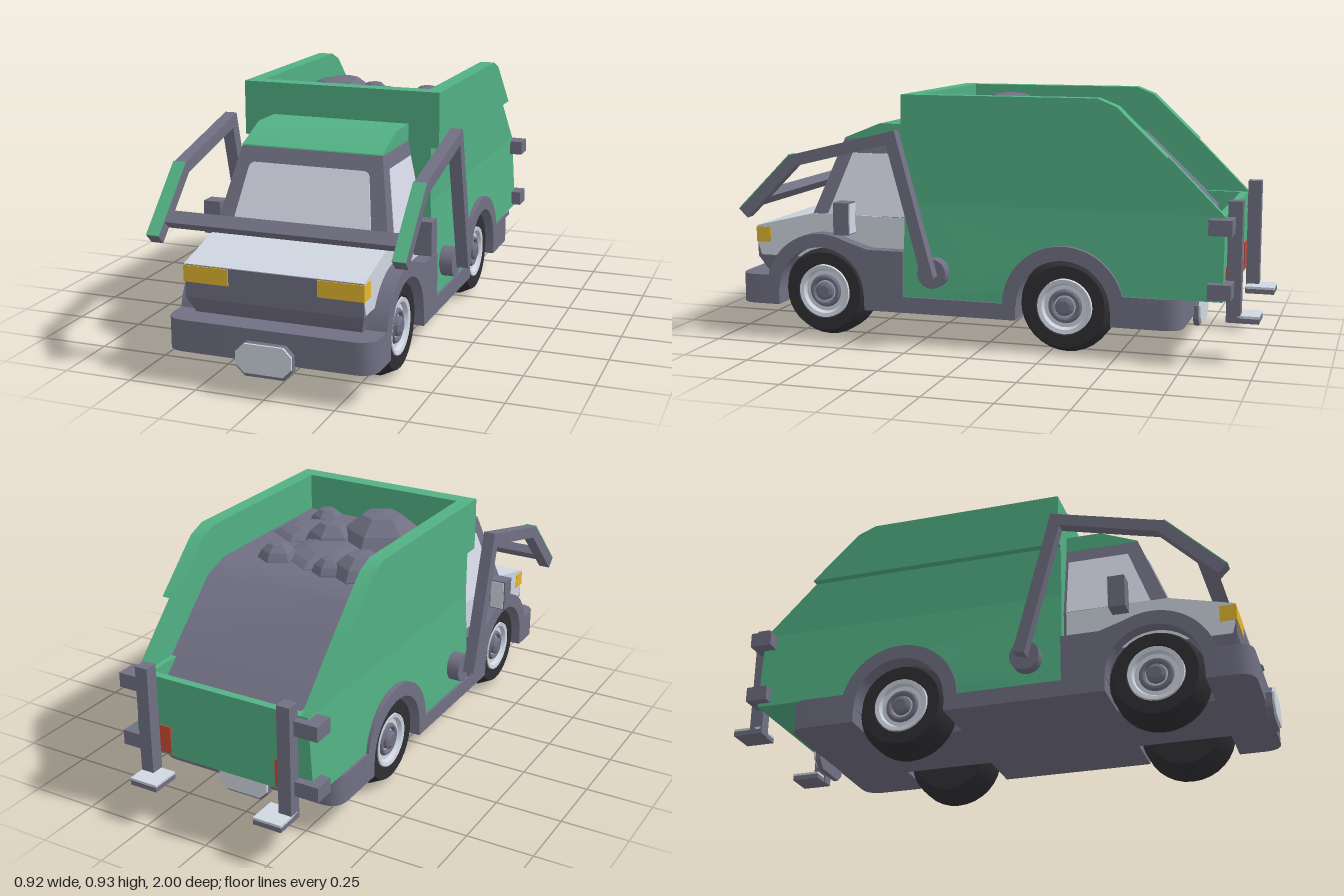
import * as THREE from 'three';
import { toCreasedNormals } from 'three/addons/utils/BufferGeometryUtils.js';

const paint = (name, color) => Object.assign(new THREE.MeshStandardMaterial({ color }), { name });

export function createModel() {
  const root = new THREE.Group();
  root.name = 'refuseTruck';
  const green = paint('green paint', 0x52b184);
  const grey = paint('grey trim', 0x717084);
  const silver = paint('silver', 0xd0d7e2);
  const glass = paint('pale glass', 0xd9dcea);
  const rubber = paint('dark rubber', 0x303034);
  const amber = paint('amber lamp', 0xe4b630);
  const red = paint('red lamp', 0xc84a3a);

  const add = (name, geo, mat, parent = root) => {
    const mesh = new THREE.Mesh(geo, mat);
    mesh.name = name;
    parent.add(mesh);
    return mesh;
  };
  // Box given by its limits on each axis
  const box = (name, mat, x0, x1, y0, y1, z0, z1) => add(name,
    new THREE.BoxGeometry(x1 - x0, y1 - y0, z1 - z0)
      .translate((x0 + x1) / 2, (y0 + y1) / 2, (z0 + z1) / 2), mat);
  const poly = pts => new THREE.Shape(pts.map(p => new THREE.Vector2(...p)));
  // Side profile of [z, y] points swept from x0 to x1; widthAt(x, y) may move the sides
  const prism = (name, mat, shape, x0, x1, widthAt) => {
    const geo = new THREE.ExtrudeGeometry(Array.isArray(shape) ? poly(shape) : shape,
      { depth: x1 - x0, bevelEnabled: false, curveSegments: 20 });
    geo.rotateY(-Math.PI / 2).translate(x1, 0, 0);
    if (widthAt) {
      const p = geo.attributes.position;
      for (let i = 0; i < p.count; i++) p.setX(i, widthAt(p.getX(i), p.getY(i)));
      geo.computeVertexNormals();
    }
    return add(name, toCreasedNormals(geo, 0.5), mat);
  };
  // The same swept profile on both sides of the truck
  const pair = (name, mat, shape, x0, x1, widthAt) => {
    prism(name + 'Left', mat, shape, x0, x1, widthAt);
    prism(name + 'Right', mat, shape, -x1, -x0, widthAt);
  };
  const boxPair = (name, mat, x0, x1, ...rest) => {
    box(name + 'Left', mat, x0, x1, ...rest);
    box(name + 'Right', mat, -x1, -x0, ...rest);
  };

  // Chassis: central spine and slabs around the wheels, rounded at the outer ends
  const slab = (name, z0, z1, y1, rFront, rBack) => {
    const w = 0.375, s = new THREE.Shape();
    s.moveTo(-w, z0 + rBack);
    s.quadraticCurveTo(-w, z0, -w + rBack, z0);
    s.lineTo(w - rBack, z0);
    s.quadraticCurveTo(w, z0, w, z0 + rBack);
    s.lineTo(w, z1 - rFront);
    s.quadraticCurveTo(w, z1, w - rFront, z1);
    s.lineTo(-w + rFront, z1);
    s.quadraticCurveTo(-w, z1, -w, z1 - rFront);
    const geo = new THREE.ExtrudeGeometry(s, { depth: y1 - 0.12, bevelEnabled: false, curveSegments: 6 });
    add(name, toCreasedNormals(geo.rotateX(Math.PI / 2).translate(0, y1, 0), 0.5), grey);
  };
  slab('frontBumper', 0.805, 0.97, 0.232, 0.07, 0);
  slab('chassisMiddle', -0.135, 0.455, 0.18, 0, 0);
  slab('rearBumper', -0.74, -0.485, 0.232, 0, 0.07);
  box('chassisSpine', grey, -0.175, 0.175, 0.12, 0.18, -0.6, 0.9);

  // Octagonal plates at both ends
  const plate = (y0, y1, w, c) => poly([[-w + c, y0], [w - c, y0], [w, y0 + c], [w, y1 - c],
    [w - c, y1], [-w + c, y1], [-w, y1 - c], [-w, y0 + c]]);
  const platePart = (name, mat, shape, z, depth) => add(name,
    new THREE.ExtrudeGeometry(shape, { depth, bevelEnabled: false }).translate(0, 0, z), mat);
  platePart('frontPlateBack', grey, plate(0.075, 0.19, 0.1, 0.03), 0.965, 0.027);
  platePart('frontPlate', silver, plate(0.088, 0.19, 0.1, 0.03), 0.992, 0.008);
  platePart('rearPlateBack', grey, plate(0.075, 0.185, 0.1, 0.03), -0.757, 0.02);
  platePart('rearPlate', silver, plate(0.085, 0.185, 0.1, 0.03), -0.765, 0.008);

  // Wheels
  const FRONT = 0.63, REAR = -0.31;
  const lathe = pts => toCreasedNormals(
    new THREE.LatheGeometry(pts.map(p => new THREE.Vector2(...p)), 32).rotateZ(-Math.PI / 2), 0.5);
  const tyre = lathe([[0, -0.088], [0.145, -0.088], [0.175, -0.035], [0.175, 0.035], [0.15, 0.086],
    [0.105, 0.086], [0.1, 0.06], [0, 0.06]]);
  const rim = lathe([[0.102, 0.06], [0.1, 0.088], [0.085, 0.085], [0.078, 0.07], [0, 0.07]]);
  const hub = lathe([[0.066, 0.065], [0.056, 0.08], [0.048, 0.08], [0.04, 0.07]]);
  const cap = lathe([[0.036, 0.065], [0.034, 0.085], [0.022, 0.092], [0, 0.092]]);
  for (const z of [FRONT, REAR]) for (const side of [1, -1]) {
    const wheel = new THREE.Group();
    wheel.name = (z > 0 ? 'front' : 'rear') + 'Wheel' + (side > 0 ? 'Left' : 'Right');
    wheel.position.set(side * 0.262, 0.176, z);
    if (side < 0) wheel.rotation.y = Math.PI;
    add('tyre', tyre, rubber, wheel);
    add('rim', rim, silver, wheel);
    add('hubRing', hub, grey, wheel);
    add('hubCap', cap, grey, wheel);
    root.add(wheel);
  }

  // Wheel arches
  const arch = (z, r, tail) => {
    const s = new THREE.Shape();
    s.absarc(z, 0.176, r, 0, tail ? 2.0 : Math.PI, false);
    if (tail) { s.lineTo(0.44, 0.35); s.lineTo(0.3, 0.35); s.lineTo(0.3, 0.17); }
    s.lineTo(z - 0.173, 0.176);
    s.absarc(z, 0.176, 0.173, Math.PI, 0, true);
    return s;
  };
  pair('frontArch', grey, arch(FRONT, 0.225, true), 0.28, 0.375);
  pair('rearArch', grey, arch(REAR, 0.225, false), 0.28, 0.375);

  // Cab: straight lower half, upper half narrowing to the roof, nose tucked in at the bottom
  const taper = extra => (x, y) => Math.sign(x) * (0.32 - 0.06 * Math.max(0, y - 0.47) / 0.285 + extra);
  const tuck = (x, y) => x * (y < 0.29 ? 0.94 : 1);
  prism('cabLower', grey, [[0.3, 0.295], [0.915, 0.295], [0.915, 0.41], [0.68, 0.465], [0.3, 0.47]], -0.32, 0.32);
  prism('cabNoseBottom', grey, [[0.3, 0.18], [0.8, 0.18], [0.88, 0.235], [0.915, 0.295], [0.3, 0.295]],
    -0.32, 0.32, tuck);
  prism('cabUpper', grey, [[0.3, 0.47], [0.68, 0.47], [0.57, 0.756], [0.3, 0.756]], -0.32, 0.32, taper(0));
  prism('hoodAndDoors', silver, [[0.31, 0.3], [0.9, 0.3], [0.912, 0.34], [0.913, 0.406], [0.917, 0.413],
    [0.68, 0.47], [0.31, 0.468]], -0.322, 0.322);
  prism('sideWindows', glass, [[0.31, 0.47], [0.62, 0.47], [0.535, 0.7], [0.31, 0.7]], -0.32, 0.32, taper(0.002));
  prism('roof', green, [[0.3, 0.752], [0.572, 0.752], [0.57, 0.756], [0.43, 0.812], [0.3, 0.812]], -0.261, 0.261);
  boxPair('headlight', amber, 0.16, 0.324, 0.35, 0.408, 0.86, 0.919);
  boxPair('mirror', grey, 0.365, 0.43, 0.41, 0.53, 0.49, 0.55);
  boxPair('mirrorGlass', silver, 0.37, 0.425, 0.415, 0.525, 0.486, 0.491);
  boxPair('mirrorStalk', grey, 0.29, 0.38, 0.44, 0.48, 0.505, 0.535);

  // Windscreen, lying on the sloping cab front
  const ws = new THREE.Shape();
  ws.moveTo(-0.26, 0.002);
  ws.lineTo(0.26, 0.002);
  ws.lineTo(0.224, 0.222);
  ws.quadraticCurveTo(0.22, 0.246, 0.2, 0.246);
  ws.lineTo(-0.2, 0.246);
  ws.quadraticCurveTo(-0.22, 0.246, -0.224, 0.222);
  const screen = add('windscreen', new THREE.ExtrudeGeometry(ws, { depth: 0.006, bevelEnabled: false }), glass);
  screen.position.set(0, 0.47, 0.68);
  screen.rotation.x = -Math.atan(0.11 / 0.285);

  // Open hopper: lower sides cut for the rear wheels, walls, overhanging rim
  const lower = new THREE.Shape();
  lower.moveTo(-0.88, 0.232);
  lower.lineTo(REAR - 0.19, 0.232);
  lower.absarc(REAR, 0.176, 0.2, Math.PI - 0.28, 0, true);
  lower.lineTo(0.3, 0.178);
  lower.lineTo(0.3, 0.53);
  lower.lineTo(-0.88, 0.53);
  const flare = (x, y) => Math.abs(x) < 0.34 ? x : Math.sign(x) * (0.346 + 0.019 * Math.min(1, (0.53 - y) / 0.3));
  pair('hopperLowerSide', green, lower, 0.3, 0.36, flare);
  pair('hopperSide', green, [[-0.88, 0.53], [0.3, 0.53], [0.3, 0.73], [-0.68, 0.73]], 0.32, 0.346);
  pair('hopperRim', green, [[-0.68, 0.73], [0.3, 0.73], [0.3, 0.93], [-0.43, 0.93], [-0.5, 0.902]], 0.32, 0.375);
  box('hopperFront', green, -0.345, 0.345, 0.18, 0.73, 0.24, 0.3);
  box('hopperFrontRim', green, -0.375, 0.375, 0.73, 0.93, 0.24, 0.3);
  prism('hopperTailgate', green, [[-0.88, 0.232], [-0.7, 0.232], [-0.7, 0.38], [-0.77, 0.44], [-0.85, 0.53],
    [-0.88, 0.53]], -0.34, 0.34);
  boxPair('tailLight', red, 0.215, 0.3, 0.24, 0.345, -0.884, -0.876);

  // Load: level heap falling away to the tailgate, with six-sided lumps
  const HEAP = 0.79;
  prism('load', grey, [[-0.77, 0.36], [0.25, 0.36], [0.25, HEAP], [-0.38, HEAP], [-0.48, 0.755], [-0.77, 0.48]],
    -0.321, 0.321);
  const lump = new THREE.LatheGeometry([[1, -0.4], [1, 0.05], [0.82, 0.45], [0.45, 0.8], [0, 0.86]]
    .map(p => new THREE.Vector2(...p)), 6).toNonIndexed();
  lump.computeVertexNormals();
  [[-0.2, -0.27, 0.115, 0.8], [-0.09, -0.31, 0.065, 1], [0.145, -0.28, 0.075, 0.9], [-0.115, 0.03, 0.165, 0.88],
    [0.05, -0.05, 0.105, 0.95], [0.185, 0.14, 0.07, 0.9], [0.19, 0, 0.13, 0.3], [0, -0.17, 0.17, 0.25]]
    .forEach(([x, z, r, h], i) => {
      const m = add('lump' + (i + 1), lump, grey);
      m.position.set(x, HEAP, z);
      m.scale.set(r, r * h, r);
    });

  // Front loading arms: mitred bent bars following a path in the side plane
  const path = [[0.17, 0.27], [0.31, 0.78], [0.695, 0.685], [0.9, 0.48]].map(p => new THREE.Vector2(...p));
  const normal = (a, b) => { const t = b.clone().sub(a).normalize(); return new THREE.Vector2(-t.y, t.x); };
  const offset = d => path.map((p, i) => {
    const n0 = normal(path[Math.max(i - 1, 0)], path[Math.max(i, 1)]);
    const n1 = normal(path[Math.min(i, 2)], path[Math.min(i + 1, 3)]);
    const n = n0.clone().add(n1).normalize();
    return p.clone().addScaledVector(n, d / n.dot(n1));
  });
  pair('liftArm', grey, new THREE.Shape([...offset(0.022), ...offset(-0.022).reverse()]), 0.415, 0.46);
  const outer = offset(0.022).slice(2), raised = offset(0.026).slice(2).reverse();
  pair('armStripe', green, new THREE.Shape([...outer, ...raised]), 0.414, 0.461);
  const bar = box('armCrossbar', grey, -0.42, 0.42, -0.018, 0.018, -0.024, 0.024);
  bar.position.set(0, 0.538, 0.838);
  bar.rotation.x = 0.785;
  for (const side of [1, -1]) add('armPivot', new THREE.CylinderGeometry(0.055, 0.055, 0.07, 20)
    .rotateZ(Math.PI / 2).translate(side * 0.373, 0.28, 0.175), grey);

  // Rear forks: posts, shoes and clamps around the hopper corners
  boxPair('forkPost', grey, 0.26, 0.31, 0.15, 0.58, -0.935, -0.885);
  boxPair('forkShoe', silver, 0.2, 0.31, 0.168, 0.177, -1, -0.89);
  boxPair('forkShoeBase', grey, 0.2, 0.31, 0.15, 0.168, -1, -0.89);
  for (const y of [0.245, 0.47]) {
    boxPair('clampBack', grey, 0.28, 0.4, y, y + 0.055, -0.912, -0.882);
    boxPair('clampSide', grey, 0.35, 0.4, y, y + 0.055, -0.9, -0.83);
  }
  return root;
}
